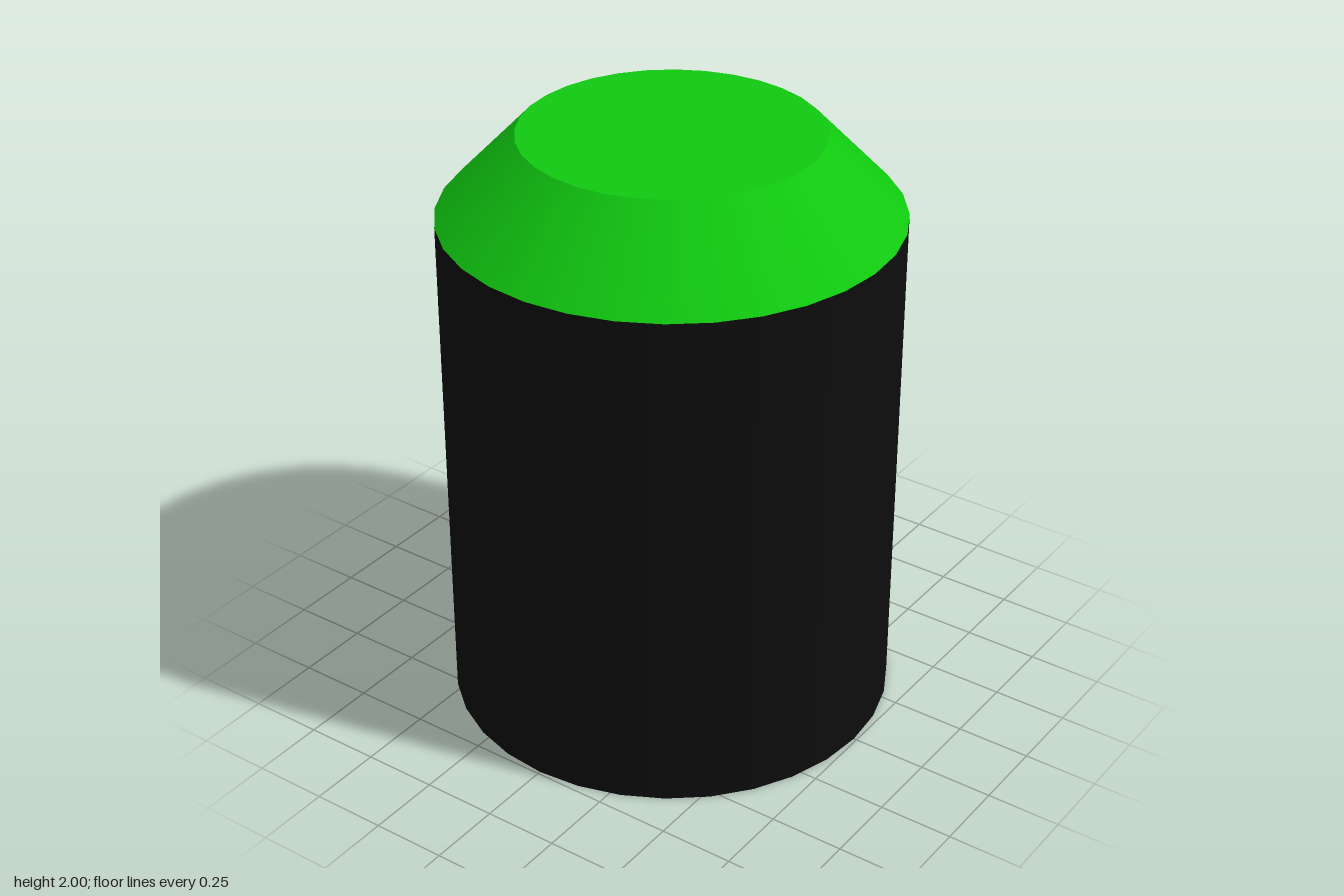
import * as THREE from 'three';

const RADIUS = 0.74, TOP_RADIUS = 0.483, SHOULDER = 1.73, HEIGHT = 2, SIDES = 32;

export function createModel() {
  const group = new THREE.Group();
  const black = new THREE.MeshStandardMaterial({ color: 0x0d0d0d });
  const green = new THREE.MeshStandardMaterial({ color: 0x10c810 });

  function add(name, geometry, material, y) {
    const mesh = new THREE.Mesh(geometry, material);
    mesh.name = name;
    mesh.position.y = y;
    group.add(mesh);
  }

  // Straight black wall
  add('bodyWall', new THREE.CylinderGeometry(RADIUS, RADIUS, SHOULDER, SIDES, 1, true), black, SHOULDER / 2);

  // Green sloping shoulder
  const slope = HEIGHT - SHOULDER;
  add('shoulder', new THREE.CylinderGeometry(TOP_RADIUS, RADIUS, slope, SIDES, 1, true), green, SHOULDER + slope / 2);

  // Green end discs, with corners matching the wall's
  const disc = (radius, tilt) => new THREE.CircleGeometry(radius, SIDES).rotateX(tilt);
  add('topDisc', disc(TOP_RADIUS, -Math.PI / 2), green, HEIGHT);
  add('bottomDisc', disc(RADIUS, Math.PI / 2), green, 0);

  return group;
}
